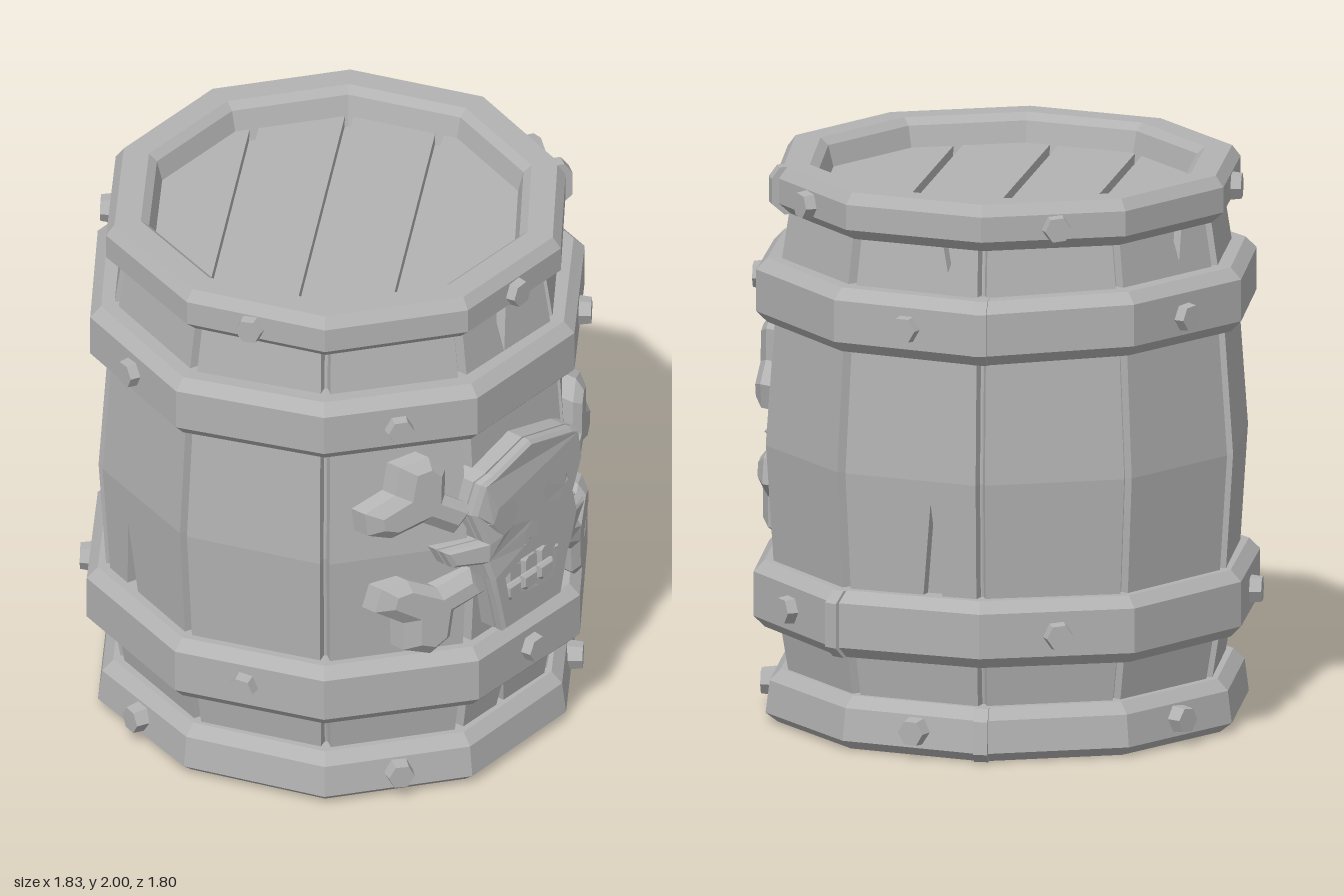
import * as THREE from 'three';

const STEP = Math.PI / 5; // ten-sided barrel
const CZ = -0.025;
const wood = new THREE.MeshStandardMaterial({ color: 0xb2b2b2 });
wood.name = 'plain grey';

const jitter = (i, s = 1) => {
  const v = Math.sin(i * 127.1 + s * 311.7) * 43758.5453;
  return (v - Math.floor(v)) * 2 - 1;
};

function add(parent, name, geometry) {
  const flat = geometry.index ? geometry.toNonIndexed() : geometry;
  flat.computeVertexNormals(); // faceted look
  const mesh = new THREE.Mesh(flat, wood);
  mesh.name = name;
  parent.add(mesh);
  return mesh;
}

function group(parent, name) {
  const g = new THREE.Group();
  g.name = name;
  parent.add(g);
  return g;
}

const shapeOf = (pts) => new THREE.Shape(pts.map(([x, y]) => new THREE.Vector2(x, y)));
const pathOf = (pts) => new THREE.Path(pts.map(([x, y]) => new THREE.Vector2(x, y)));

function extrude(shape, depth, bevel = 0) {
  return new THREE.ExtrudeGeometry(shape, {
    depth: depth - bevel * 2, bevelEnabled: bevel > 0, bevelThickness: bevel,
    bevelSize: bevel, bevelOffset: -bevel, bevelSegments: 1,
  }).translate(0, 0, bevel);
}

function moveVertices(geo, rule) {
  const p = geo.attributes.position, v = new THREE.Vector3();
  for (let i = 0; i < p.count; i++) {
    v.fromBufferAttribute(p, i);
    rule(v, i);
    p.setXYZ(i, v.x, v.y, v.z);
  }
  return geo;
}

// Staves: bulging planks in four stacked lengths, some with a V-shaped split
const LEVELS = [[0.05, 0.765], [0.45, 0.832], [1, 0.868], [1.55, 0.828], [1.95, 0.765]];
const CRACKS = [ // stave, length, position across, split runs down from the top, tip height
  [0, 3, -0.1, true, 1.66], [0, 0, -0.1, false, 0.3], [3, 1, 0.3, false, 0.92],
  [7, 1, -0.4, false, 0.85], [5, 3, 0.3, true, 1.72], [3, 3, 0.5, true, 1.74],
];

function buildStaves(parent) {
  const staves = group(parent, 'staves');
  for (let k = 0; k < 10; k++) {
    const push = jitter(k, 3) * 0.008;
    for (let s = 0; s < 4; s++) {
      const [y0, r0] = LEVELS[s], [y1, r1] = LEVELS[s + 1];
      const bottom = [[-1, y0], [1, y0]], top = [[1, y1], [-1, y1]];
      for (const [stave, seg, u, down, tip] of CRACKS) {
        if (stave !== k || seg !== s) continue;
        if (down) top.splice(1, 0, [u + 0.3, y1], [u, tip], [u - 0.22, y1]);
        else bottom.splice(1, 0, [u - 0.2, y0], [u, tip], [u + 0.22, y0]);
      }
      const geo = moveVertices(extrude(shapeOf([...bottom, ...top]), 0.07), (v) => {
        const r = r0 + (r1 - r0) * (v.y - y0) / (y1 - y0);
        v.x *= r * Math.sin(STEP / 2) - 0.018;
        v.z += r * Math.cos(STEP / 2) - 0.07 + push;
      });
      add(staves, 'stave', geo.rotateY(k * STEP));
    }
  }
  const core = LEVELS.map(([y, r]) => new THREE.Vector2(r - 0.04, y));
  add(staves, 'innerWall', new THREE.LatheGeometry(core, 10, STEP / 2));
}

// Hoops: bevelled closed profiles [radius, height], a lap joint and five bolts
const hoop = (r, y0, y1) => [
  [r - 0.04, y0], [r, y0 + 0.04], [r, y1 - 0.04], [r - 0.04, y1], [r - 0.13, y1], [r - 0.13, y0],
];
const HOOPS = [
  { name: 'topRim', r: 0.835, bolt: 1.91, turn: 0, joint: 1.5, wobble: 0,
    profile: [[0.79, 1.83], [0.835, 1.87], [0.835, 1.96], [0.805, 2], [0.71, 2], [0.68, 1.975], [0.65, 1.86], [0.7, 1.83]] },
  { name: 'upperHoop', r: 0.898, bolt: 1.55, turn: 1, joint: 3.5, wobble: 0.01, profile: hoop(0.898, 1.435, 1.665) },
  { name: 'lowerHoop', r: 0.91, bolt: 0.46, turn: 0, joint: 2.5, wobble: 0.01, profile: hoop(0.91, 0.34, 0.58) },
  { name: 'bottomRim', r: 0.865, bolt: 0.095, turn: 1, joint: 3.5, wobble: 0,
    profile: [[0.82, 0], [0.865, 0.035], [0.85, 0.15], [0.81, 0.19], [0.7, 0.19], [0.65, 0.14], [0.68, 0.025], [0.71, 0]] },
];

function buildHoop(parent, h, seed) {
  const g = group(parent, h.name);
  const ring = [...h.profile, h.profile[0]].map(([r, y]) => new THREE.Vector2(r, y));
  const n = ring.length;
  const geo = moveVertices(new THREE.LatheGeometry(ring, 10, STEP / 2), (v, i) => {
    const column = Math.floor(i / n) % 10;
    const k = 1 + jitter(column, seed) * 0.009;
    v.x *= k;
    v.z *= k;
    v.y += jitter(column, seed + 5) * h.wobble;
  });
  add(g, 'ring', geo);

  const lap = extrude(shapeOf(h.profile.map(([r, y]) => [r + 0.012, y])), 0.05);
  add(g, 'lapJoint', lap.translate(0, 0, -0.025).rotateY(h.joint * STEP - Math.PI / 2));

  for (let k = 0; k < 5; k++) {
    const bolt = new THREE.CylinderGeometry(0.047, 0.057, 0.08, 6);
    bolt.rotateX(Math.PI / 2).rotateZ(Math.PI / 6 + jitter(k, seed) * 0.15);
    bolt.translate(jitter(k, seed + 2) * 0.02, h.bolt, h.r * Math.cos(STEP / 2));
    add(g, 'bolt', bolt.rotateY((k * 2 + h.turn) * STEP));
  }
}

// Lid: diagonal boards cut to the round, two of them split
const BOARDS = [
  { from: -0.7, to: -0.385 },
  { from: -0.355, to: -0.065, split: [[-0.26, -0.2], [0, -0.25], [0.32, -0.27], [0.05, -0.21]] },
  { from: -0.035, to: 0.265, split: [[-0.19, 0.18], [0.09, 0.11], [0.48, 0.17], [0.2, 0.17]] },
  { from: 0.295, to: 0.7 },
];

function buildLid(parent, name) {
  const lid = group(parent, name);
  const half = (n) => Math.sqrt(0.71 ** 2 - n * n);
  for (const { from, to, split } of BOARDS) {
    const pts = [];
    for (let i = 0; i <= 4; i++) {
      const n = from + (to - from) * i / 4;
      pts.push([half(n), -n]);
      pts.unshift([-half(n), -n]);
    }
    const shape = shapeOf(pts);
    if (split) shape.holes.push(pathOf(split.map(([t, n]) => [t, -n])));
    add(lid, 'lidBoard', extrude(shape, 0.04).rotateX(-Math.PI / 2).rotateY(0.545));
  }
  add(lid, 'lidBacking', new THREE.CylinderGeometry(0.71, 0.71, 0.02, 10).translate(0, -0.01, 0));
  return lid;
}

// Carved emblem, bent back around the barrel on both sides
const wrap = (geo) => moveVertices(geo, (v) => {
  v.z -= Math.max(0, Math.abs(v.x) - 0.24) * 0.6;
});
const SKULL = [
  [-0.04, 1.35], [0.19, 1.29], [0.23, 1.27], [0.25, 1.15], [0.2, 1.03], [0.22, 0.95], [0.31, 0.93],
  [0.19, 0.83], [0.17, 0.79], [0.13, 0.63], [-0.19, 0.63], [-0.23, 0.79], [-0.25, 0.87], [-0.27, 0.94],
  [-0.37, 0.95], [-0.4, 1.02], [-0.27, 1.03], [-0.31, 1.15], [-0.28, 1.27], [-0.24, 1.3],
];
const HOLES = [
  [[-0.26, 1.1], [-0.23, 1.17], [-0.14, 1.17], [-0.1, 1.11], [-0.13, 1.04], [-0.2, 1.02]], // eyes
  [[0.01, 1.11], [0.05, 1.17], [0.14, 1.17], [0.18, 1.1], [0.12, 1.02], [0.05, 1.04]],
  [[-0.04, 1.04], [0, 1.0], [0.01, 0.92], [-0.04, 0.94], [-0.09, 0.92], [-0.08, 1.0]], // nose
  [[-0.2, 0.86], [-0.1, 0.9], [0.02, 0.9], [0.12, 0.86], [0.1, 0.72], [-0.17, 0.72]], // mouth
];
const BONE = [
  [0, -0.06], [0.12, -0.06], [0.18, -0.15], [0.26, -0.17], [0.32, -0.1], [0.27, 0],
  [0.32, 0.1], [0.26, 0.17], [0.18, 0.15], [0.12, 0.06], [0, 0.06],
];

function buildEmblem(parent) {
  const emblem = group(parent, 'skullEmblem');
  add(emblem, 'skullBack', wrap(extrude(shapeOf(SKULL), 0.09).translate(0, 0, 0.75)));
  const face = shapeOf(SKULL);
  HOLES.forEach((h) => face.holes.push(pathOf(h)));
  add(emblem, 'skullFace', wrap(extrude(face, 0.05, 0.012).translate(0, 0, 0.835)));

  for (let i = -1; i <= 1; i++) {
    for (const [y, h] of [[0.845, 0.075], [0.765, 0.065]]) {
      const w = 0.04;
      const tooth = shapeOf([[-w, -h / 2], [w, -h / 2], [w, h / 4], [w / 2, h / 2], [-w / 2, h / 2], [-w, h / 4]]);
      const geo = extrude(tooth, 0.05, 0.01);
      if (y < 0.8) geo.rotateZ(Math.PI).translate(0, 0, 0);
      add(emblem, 'tooth', geo.translate(-0.035 + i * 0.088, y, 0.83));
    }
  }

  const bones = [[0.2, 1.1, 28], [-0.305, 1.12, 145], [0.165, 0.85, -27], [-0.26, 0.86, 207]];
  for (const [x, y, deg] of bones) {
    const geo = extrude(shapeOf(BONE), 0.13, 0.035);
    geo.rotateZ(THREE.MathUtils.degToRad(deg)).translate(x, y, 0.74);
    add(emblem, 'boneEnd', wrap(geo));
  }
}

export function createModel() {
  const model = new THREE.Group();
  model.name = 'barrel';
  const body = group(model, 'barrelBody');
  body.position.z = CZ;
  buildStaves(body);
  HOOPS.forEach((h, i) => buildHoop(body, h, i + 1));
  buildLid(body, 'topLid').position.y = 1.86;
  const base = buildLid(body, 'bottomLid');
  base.rotation.z = Math.PI;
  base.position.y = 0.14;
  buildEmblem(model);
  return model;
}
